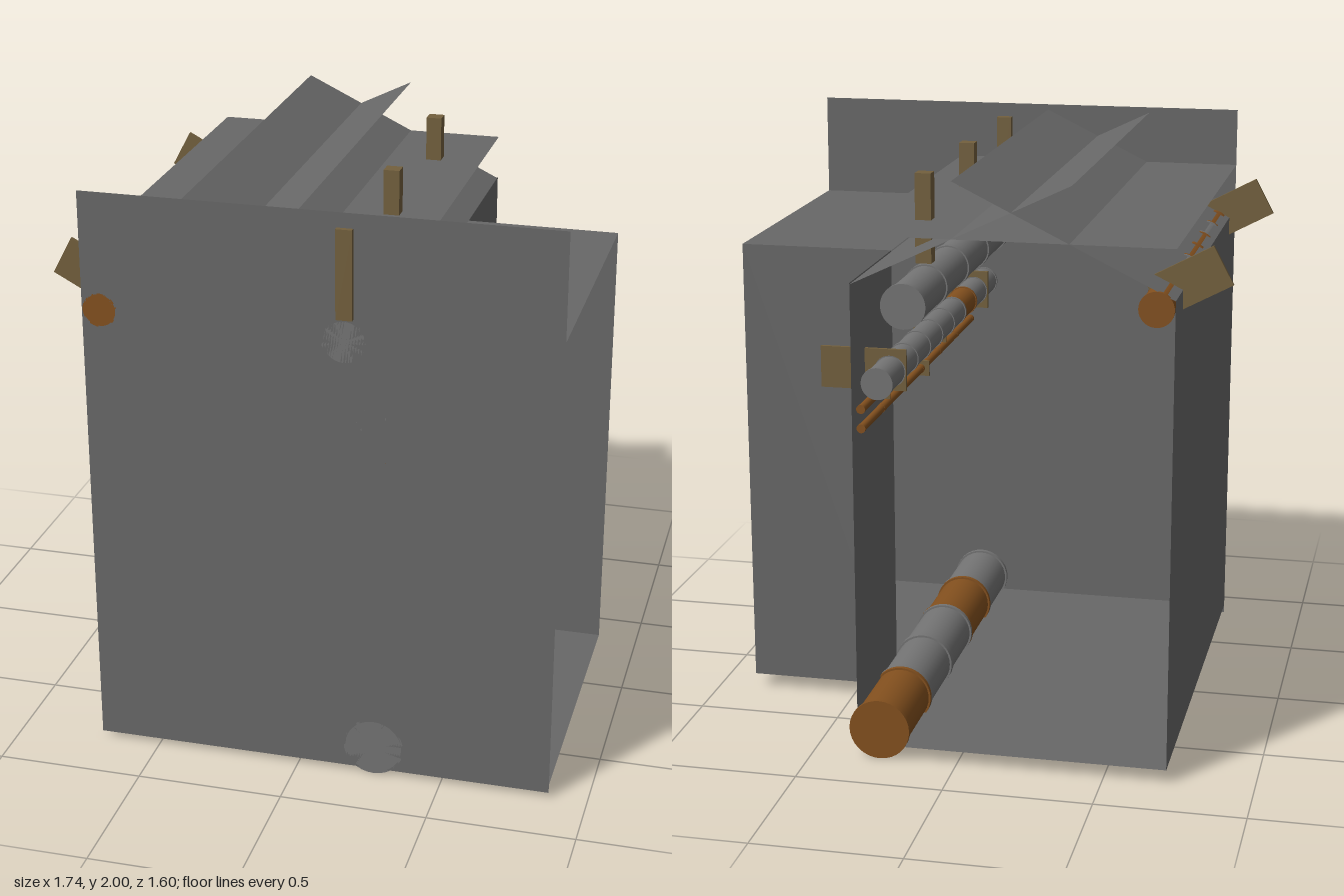
import * as THREE from 'three';

const mat = (name, color, side = THREE.FrontSide) => {
  const m = new THREE.MeshStandardMaterial({ color, side });
  m.name = name;
  return m;
};

export function createModel() {
  const model = new THREE.Group();
  model.name = 'pipeCorridor';
  const wallGrey = mat('wall grey', 0x686868, THREE.DoubleSide);
  const pipeGrey = mat('pipe grey', 0x747474);
  const rust = mat('rust', 0x83501e);
  const bracketBrown = mat('bracket brown', 0x73603d);
  const FRONT = 0.78, BACK = -0.8, STEP = -0.28;
  const LEFT = -0.71, MID = 0.34, RIGHT = 0.87, FLOOR = 0.05, TOP = 1.64;

  const add = (name, geometry, material, parent = model) => {
    const mesh = new THREE.Mesh(geometry, material);
    mesh.name = name;
    parent.add(mesh);
    return mesh;
  };

  // Sheet swept along z between two points of the cross-section
  const sheet = (name, x0, y0, x1, y1, z0, z1) => {
    const m = add(name, new THREE.PlaneGeometry(Math.hypot(x1 - x0, y1 - y0), z1 - z0).rotateX(-Math.PI / 2), wallGrey);
    m.rotation.z = Math.atan2(y1 - y0, x1 - x0);
    m.position.set((x0 + x1) / 2, (y0 + y1) / 2, (z0 + z1) / 2);
  };
  // Upright sheet facing along z
  const panel = (name, x0, x1, y0, y1, z) =>
    add(name, new THREE.PlaneGeometry(x1 - x0, y1 - y0), wallGrey).position.set((x0 + x1) / 2, (y0 + y1) / 2, z);

  // Walls, floor and side passage
  panel('frontWall', LEFT, RIGHT, 0.02, 2, FRONT);
  panel('passageWall', MID, RIGHT, FLOOR, TOP, STEP);
  sheet('leftSideWall', LEFT, FLOOR, LEFT, 1.63, BACK, FRONT);
  sheet('rightSideWall', MID, FLOOR, MID, TOP, BACK, STEP);
  sheet('floor', LEFT, FLOOR, MID, FLOOR, BACK, FRONT);
  sheet('passageFloor', MID, FLOOR, RIGHT, FLOOR, STEP, FRONT);
  sheet('passageCeiling', MID, TOP, RIGHT, TOP, STEP, FRONT);

  // Flat ceiling crossed by two sloping sheets
  sheet('flatCeiling', LEFT, 1.795, MID, 1.795, BACK, FRONT);
  sheet('leftSlope', LEFT, 1.63, 0.005, 1.98, BACK, FRONT);
  sheet('rightSlope', -0.38, 1.98, MID, 1.635, BACK, FRONT);

  // Pipe in equal sections; R marks a rusty section, front to back
  const pipe = (name, x, y, r, sections, collarWidth) => {
    const group = new THREE.Group();
    group.name = name;
    group.position.set(x, y, 0);
    model.add(group);
    const n = sections.length, len = (FRONT - BACK) / n;
    [...sections].forEach((c, i) => {
      const material = c === 'R' ? rust : pipeGrey;
      const z = FRONT - (i + 0.5) * len;
      add('section', new THREE.CylinderGeometry(r, r, len, 32).rotateX(Math.PI / 2), material, group).position.z = z;
      for (const s of [-1, 1]) {
        const collar = new THREE.CylinderGeometry(r * 1.07, r * 1.07, collarWidth, 32).rotateX(Math.PI / 2);
        add('collar', collar, material, group).position.z = z + s * (len - collarWidth) / 2;
      }
    });
  };
  pipe('floorPipe', 0.265, 0.105, 0.097, 'GRGGR', 0.016);
  pipe('ceilingPipe', 0.165, 1.57, 0.07, 'GGGGG', 0.016);
  pipe('sidePipe', 0.255, 1.31, 0.05, 'GGRGGGGGG', 0.01);
  pipe('leftPipe', -0.65, 1.6, 0.054, 'RRGRRGGR', 0.012);
  pipe('upperThinPipe', 0.31, 1.222, 0.014, 'RRRRRR', 0.015);
  pipe('lowerThinPipe', 0.31, 1.157, 0.014, 'RRRRRR', 0.015);

  // Hangers and brackets
  const box = (name, x0, x1, y0, y1, z, depth) => {
    const m = add(name, new THREE.BoxGeometry(x1 - x0, y1 - y0, depth), bracketBrown);
    m.position.set((x0 + x1) / 2, (y0 + y1) / 2, z);
    return m;
  };
  for (const z of [0.772, 0.15, -0.485]) box('ceilingHanger', 0.142, 0.196, 1.65, 1.95, z, 0.05);
  for (const z of [0.605, -0.628]) {
    box('sidePipeBracket', 0.2, 0.49, 1.245, 1.385, z, 0.012);
    const b = box('leftPipeBracket', -0.85, -0.6, 1.58, 1.72, z, 0.012);
    b.position.set(-0.727, 1.655, z);
    b.rotation.z = -0.49;
  }
  for (const z of [0.26, -0.54]) box('upperThinBracket', 0.28, 0.405, 1.19, 1.245, z, 0.01);
  box('lowerThinBracket', 0.28, 0.405, 1.13, 1.185, 0, 0.01);

  return model;
}
